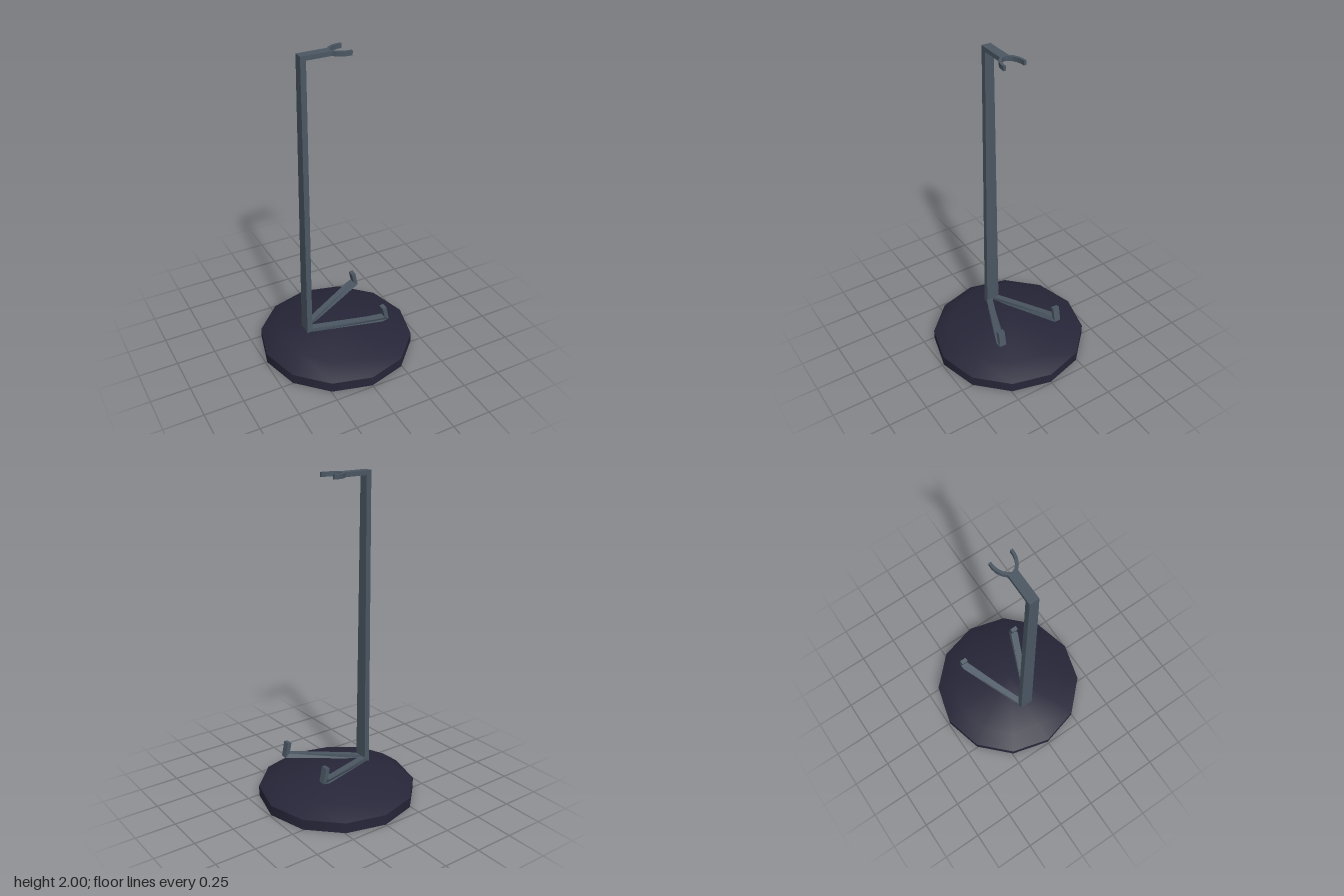
import * as THREE from 'three';
import { mergeVertices } from 'three/addons/utils/BufferGeometryUtils.js';

const SIDES = 12;

function named(name, geometry, material) {
  const mesh = new THREE.Mesh(geometry, material);
  mesh.name = name;
  return mesh;
}

function extrude(points, depth) {
  const shape = new THREE.Shape(points.map(([x, y]) => new THREE.Vector2(x, y)));
  return new THREE.ExtrudeGeometry(shape, { depth, bevelEnabled: false });
}

// Shallow smooth dome, raised a little at the post side
function domeGeometry() {
  const profile = [[0.49, 0.065], [0.375, 0.117], [0, 0.2]].map(([r, y]) => new THREE.Vector2(r, y));
  let geometry = new THREE.LatheGeometry(profile, SIDES);
  const p = geometry.attributes.position;
  for (let i = 0; i < p.count; i++) {
    const r = Math.hypot(p.getX(i), p.getZ(i));
    if (r > 0.3 && r < 0.4) {
      const back = Math.max(0, -p.getX(i) / r);
      p.setY(i, p.getY(i) + 0.034 * back ** 4);
    }
  }
  geometry.deleteAttribute('normal');
  geometry.deleteAttribute('uv');
  geometry = mergeVertices(geometry, 1e-4);
  geometry.computeVertexNormals();
  return geometry;
}

// Upright bar, wider at the foot than at the top
function postGeometry() {
  const geometry = new THREE.BoxGeometry(0.034, 1.84, 1);
  geometry.translate(-0.206, 1.08, 0);
  const p = geometry.attributes.position;
  for (let i = 0; i < p.count; i++) {
    p.setZ(i, p.getZ(i) * (p.getY(i) > 1 ? 0.056 : 0.088));
  }
  geometry.computeVertexNormals();
  return geometry;
}

// Flat top arm ending in an open fork
function forkGeometry() {
  const outer = [[-0.222, 0.028], [-0.05, 0.028], [-0.037, 0.03], [-0.02, 0.048], [0.01, 0.064], [0.04, 0.07], [0.065, 0.07]];
  const inner = [[0.065, 0.055], [0.045, 0.055], [0.018, 0.049], [-0.008, 0.036], [-0.026, 0.018]];
  const half = [...outer, ...inner];
  const mirrored = half.map(([x, y]) => [x, -y]).reverse();
  const geometry = extrude([...half, [-0.036, 0], ...mirrored], 0.027);
  geometry.rotateX(-Math.PI / 2);
  geometry.translate(0, 1.973, 0);
  return geometry;
}

// Lower arm with a leaning stop, sheared outward to one side
function lowerArmGeometry(side) {
  const width = 0.043;
  const geometry = extrude([
    [-0.2, 0.168], [0.216, 0.229], [0.262, 0.236], [0.242, 0.332],
    [0.216, 0.327], [0.232, 0.258], [0.216, 0.255], [-0.2, 0.193],
  ], width);
  const p = geometry.attributes.position;
  for (let i = 0; i < p.count; i++) {
    const t = (Math.min(p.getX(i), 0.216) + 0.2) / 0.416;
    const offset = THREE.MathUtils.lerp(0.022, 0.205, t);
    p.setZ(i, p.getZ(i) - width / 2 + side * offset);
  }
  geometry.computeVertexNormals();
  return geometry;
}

export function createModel() {
  const baseColor = new THREE.MeshStandardMaterial({ color: 0x262639 });
  baseColor.name = 'dark navy';
  const metal = new THREE.MeshStandardMaterial({ color: 0x4b5763 });
  metal.name = 'slate grey';

  const model = new THREE.Group();
  model.name = 'displayStand';

  // Base: rim with underside, and the dome on top
  const base = new THREE.Group();
  base.name = 'base';
  const rim = new THREE.CylinderGeometry(0.49, 0.49, 0.065, SIDES, 1, true);
  rim.translate(0, 0.0325, 0);
  const bottom = new THREE.CircleGeometry(0.49, SIDES);
  bottom.rotateX(Math.PI / 2);
  base.add(
    named('baseRim', rim, baseColor),
    named('baseUnderside', bottom, baseColor),
    named('baseDome', domeGeometry(), baseColor),
  );

  model.add(
    base,
    named('post', postGeometry(), metal),
    named('topFork', forkGeometry(), metal),
    named('frontLowerArm', lowerArmGeometry(1), metal),
    named('backLowerArm', lowerArmGeometry(-1), metal),
  );
  return model;
}
